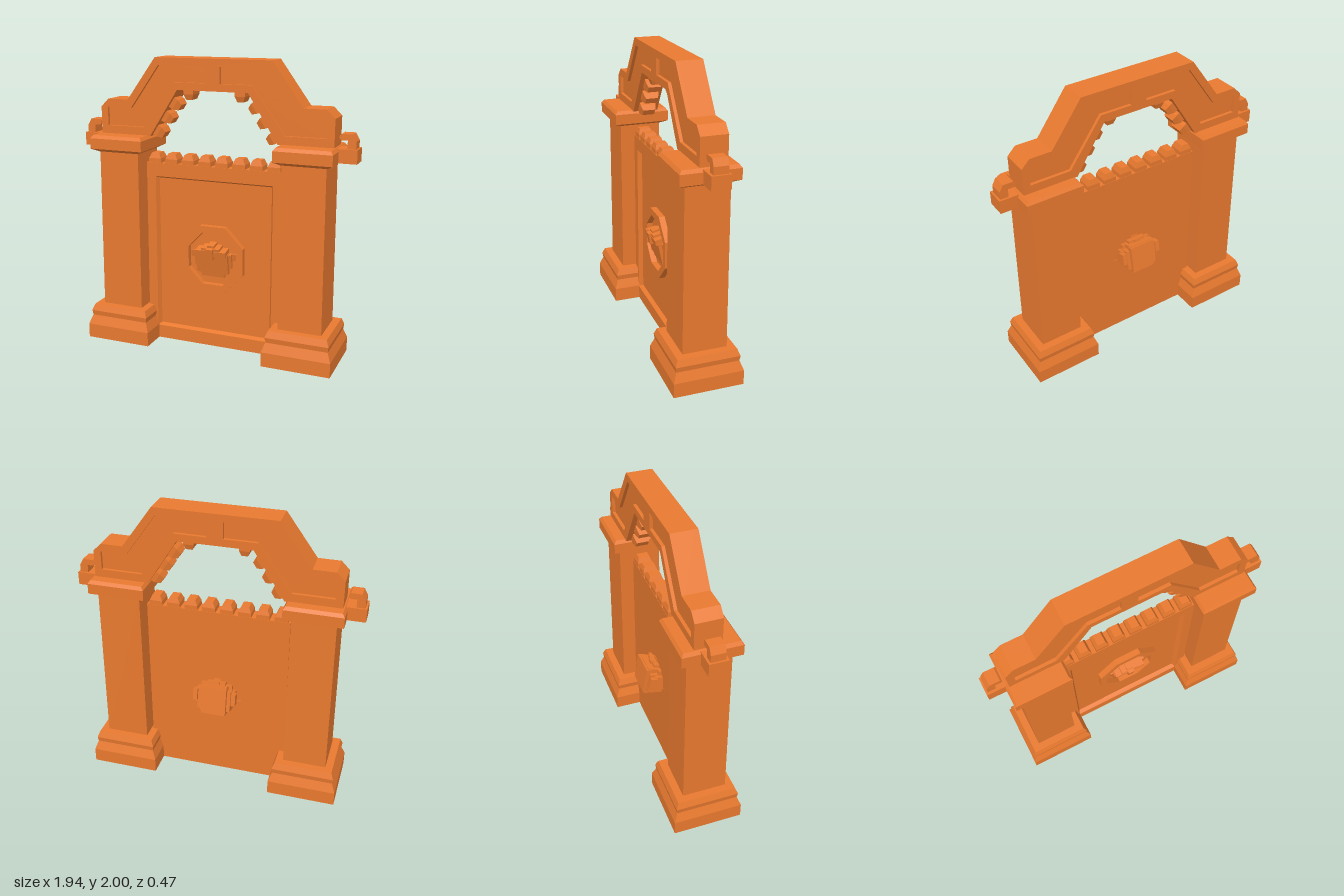
import * as THREE from 'three';

const material = new THREE.MeshStandardMaterial({ color: 0xe8792f, flatShading: true });

function add(parent, name, geometry, x = 0, y = 0, z = 0) {
  const mesh = new THREE.Mesh(geometry, material);
  mesh.name = name;
  mesh.position.set(x, y, z);
  parent.add(mesh);
  return mesh;
}

// Capped stack of rectangles, each level given as [height, halfWidth, halfDepth]
function loft(levels) {
  const pos = [];
  const ring = ([h, w, d]) => [[-w, h, d], [w, h, d], [w, h, -d], [-w, h, -d]];
  const quad = (a, b, c, d) => pos.push(...a, ...b, ...c, ...a, ...c, ...d);
  const rings = levels.map(ring);
  for (let i = 0; i < rings.length - 1; i++) {
    for (let j = 0; j < 4; j++) {
      const k = (j + 1) % 4;
      quad(rings[i][j], rings[i][k], rings[i + 1][k], rings[i + 1][j]);
    }
  }
  quad(...rings[rings.length - 1]);
  quad(...rings[0].slice().reverse());
  const g = new THREE.BufferGeometry();
  g.setAttribute('position', new THREE.Float32BufferAttribute(pos, 3));
  g.computeVertexNormals();
  return g;
}

const toPoints = (pts, s = 1) => pts.map(([x, y]) => new THREE.Vector2(x * s, y));

// Extrude an outline between two depths
function slab(outline, z0, z1, holes = []) {
  const shape = new THREE.Shape(outline);
  holes.forEach((h) => shape.holes.push(new THREE.Path(h)));
  return new THREE.ExtrudeGeometry(shape, { depth: z1 - z0, bevelEnabled: false }).translate(0, 0, z0);
}

// Blunt stone tooth, growing along +y
const tooth = (depth) => loft([
  [-0.01, 0.046, depth], [0.03, 0.044, depth], [0.067, 0.027, depth - 0.012],
]);

function buildPillar(s) {
  const g = new THREE.Group();
  g.name = s > 0 ? 'leftPillar' : 'rightPillar';
  const x = 0.655 * s;
  add(g, 'plinth', loft([
    [0, 0.236, 0.236], [0.1, 0.236, 0.236], [0.165, 0.212, 0.212],
    [0.2, 0.217, 0.217], [0.245, 0.2, 0.2],
  ]), x);
  add(g, 'shaft', loft([[0.24, 0.149, 0.149], [1.37, 0.145, 0.145]]), x);
  add(g, 'capital', loft([
    [1.355, 0.15, 0.15], [1.378, 0.194, 0.194], [1.45, 0.194, 0.194], [1.472, 0.178, 0.178],
  ]), x);
  // Side bracket carrying a small hook
  add(g, 'bracket', new THREE.BoxGeometry(0.14, 0.09, 0.126), 0.898 * s, 1.421, -0.013);
  const hook = [
    [0.955, 1.46], [0.955, 1.515], [0.93, 1.56], [0.86, 1.56], [0.848, 1.55],
    [0.848, 1.53], [0.86, 1.52], [0.9, 1.52], [0.9, 1.46],
  ];
  add(g, 'hook', slab(toPoints(hook, s), -0.062, 0.033));
  return g;
}

function buildArch() {
  const g = new THREE.Group();
  g.name = 'arch';
  const half = [
    [0.455, 1.468], [0.825, 1.468], [0.825, 1.655], [0.77, 1.71], [0.62, 1.71], [0.41, 2],
  ];
  const inner = [0.25, 1.79];
  const outline = toPoints([inner, ...half])
    .concat(toPoints([inner, ...half].reverse(), -1));
  const panel = [
    [0.775, 1.655], [0.775, 1.527], [0.5, 1.527], [0.275, 1.84],
    [0.055, 1.84], [0.055, 1.95], [0.385, 1.95], [0.595, 1.655],
  ];
  const panels = [toPoints(panel), toPoints(panel, -1)];
  // Core with pierced faces, leaving sunken panels front and back
  add(g, 'archCore', slab(outline, -0.09, 0.043));
  add(g, 'archFrontFace', slab(outline, 0.043, 0.065, panels));
  add(g, 'archBackFace', slab(outline, -0.112, -0.09, panels));
  // Teeth on the inner edge
  for (const s of [-1, 1]) {
    for (const t of [0.13, 0.44, 0.73]) {
      const m = add(g, 'archTooth', tooth(0.055), s * (0.455 - 0.205 * t), 1.47 + 0.32 * t, -0.022);
      m.rotation.z = s * (Math.PI / 2 + 0.57);
      m.scale.x = 0.85;
    }
    const m = add(g, 'archTooth', tooth(0.055), s * 0.182, 1.79, -0.022);
    m.rotation.z = Math.PI;
    m.scale.x = 0.8;
  }
  return g;
}

function buildDoor() {
  const g = new THREE.Group();
  g.name = 'door';
  // Slab with a bevelled recess in its front
  const slabMesh = add(g, 'doorSlab', loft([
    [-0.055, 0.491, 0.6425], [0.05, 0.491, 0.6425], [0.05, 0.425, 0.549], [0.02, 0.408, 0.535],
  ]), 0, 0.6425, 0);
  slabMesh.rotation.x = Math.PI / 2;
  for (let i = 0; i < 8; i++) {
    add(g, 'doorTooth', tooth(0.05), -0.43 + i * 0.1225, 1.285, -0.003);
  }
  // Octagonal ring around the emblem
  const octagon = (r, c) => toPoints([
    [r, -c], [r, c], [c, r], [-c, r], [-r, c], [-r, -c], [-c, -r], [c, -r],
  ]).map((p) => p.multiply(new THREE.Vector2(0.96, 1)));
  add(g, 'emblemRing', slab(octagon(0.231, 0.095), 0.015, 0.062, [octagon(0.183, 0.076)]), 0, 0.643, 0);
  return g;
}

// Blocky emblem tilted through the door
function buildEmblem() {
  const g = new THREE.Group();
  g.name = 'emblem';
  // name, width, y range, z range
  const blocks = [
    ['emblemBody', 0.23, -0.085, 0.06, -0.115, 0.1],
    ['emblemCore', 0.17, -0.115, 0.09, -0.125, 0.095],
    ['emblemBackPlate', 0.18, -0.09, 0.085, -0.14, -0.1],
    ['emblemBrow', 0.22, 0.05, 0.09, -0.06, 0.115],
    ['emblemCrest', 0.045, 0.03, 0.11, -0.09, 0.13],
    ['emblemCap', 0.13, 0.085, 0.108, -0.08, 0.11],
    ['emblemKnob', 0.05, 0.1, 0.125, -0.05, 0.1],
    ['emblemBand', 0.27, -0.05, 0.055, -0.085, 0.075],
  ];
  for (const [name, w, y0, y1, z0, z1] of blocks) {
    add(g, name, new THREE.BoxGeometry(w, y1 - y0, z1 - z0), 0, (y0 + y1) / 2, (z0 + z1) / 2);
  }
  for (const s of [-1, 1]) {
    add(g, 'emblemEar', new THREE.BoxGeometry(0.04, 0.09, 0.07), s * 0.148, 0.01, 0.02);
    add(g, 'emblemRearEar', new THREE.BoxGeometry(0.03, 0.08, 0.05), s * 0.135, 0.01, -0.095);
  }
  g.position.set(-0.003, 0.643, -0.035);
  g.rotation.x = 0.2;
  return g;
}

export function createModel() {
  const model = new THREE.Group();
  model.name = 'gateway';
  model.add(buildPillar(1), buildPillar(-1), buildArch(), buildDoor(), buildEmblem());
  return model;
}
